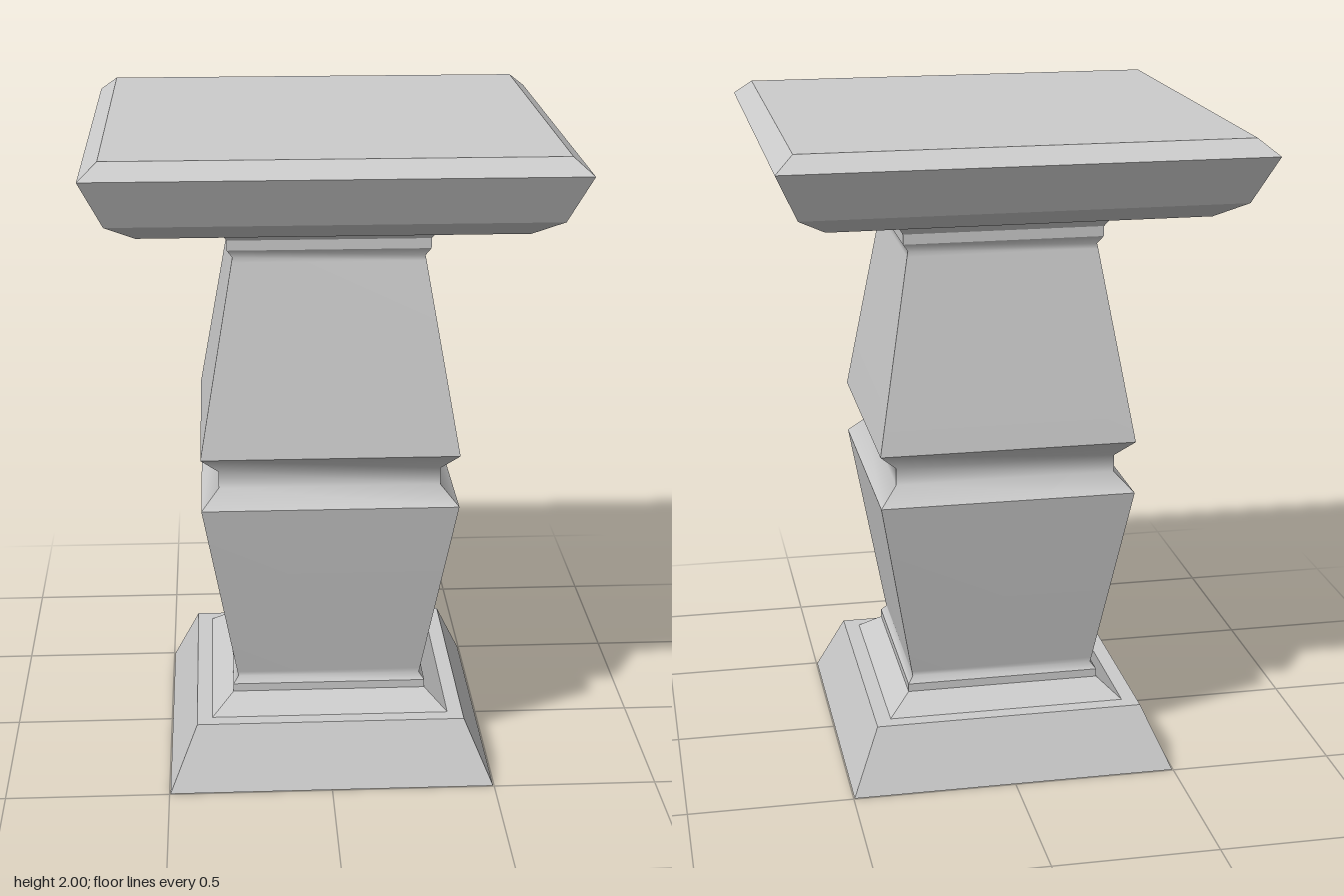
import * as THREE from 'three';
import { toCreasedNormals } from 'three/addons/utils/BufferGeometryUtils.js';

const material = new THREE.MeshStandardMaterial({ color: 0xcccccc });

// Square moulding: [half width, height] pairs, listed bottom to top
function squareMoulding(name, profile, creaseDegrees) {
  const points = profile.map(([w, y]) => new THREE.Vector2(w * Math.SQRT2, y));
  const lathe = new THREE.LatheGeometry(points, 4, Math.PI / 4);
  const geometry = toCreasedNormals(lathe, THREE.MathUtils.degToRad(creaseDegrees));
  const mesh = new THREE.Mesh(geometry, material);
  mesh.name = name;
  return mesh;
}

export function createModel() {
  const group = new THREE.Group();
  group.name = 'pedestal';

  // Sloped plinth, its ledge and the lower band
  group.add(squareMoulding('base', [
    [0, 0], [0.497, 0], [0.412, 0.19], [0.365, 0.19], [0.298, 0.245], [0.298, 0.27],
  ], 10));

  // Two tapered blocks around a grooved waist; the extra rings keep the long faces flat
  group.add(squareMoulding('shaft', [
    [0.298, 0.27], [0.282, 0.29], [0.285, 0.305], [0.386, 0.883],
    [0.333, 0.938], [0.333, 0.99],
    [0.386, 1.045], [0.285, 1.62], [0.282, 1.635], [0.298, 1.66],
  ], 52));

  // Upper band and flared neck
  group.add(squareMoulding('neck', [
    [0.298, 1.66], [0.298, 1.69], [0.335, 1.747],
  ], 10));

  // Table slab with bevelled rim and stepped underside
  group.add(squareMoulding('top', [
    [0, 1.747], [0.335, 1.747], [0.55, 1.763], [0.633, 1.815],
    [0.697, 1.955], [0.643, 2], [0, 2],
  ], 10));

  return group;
}
